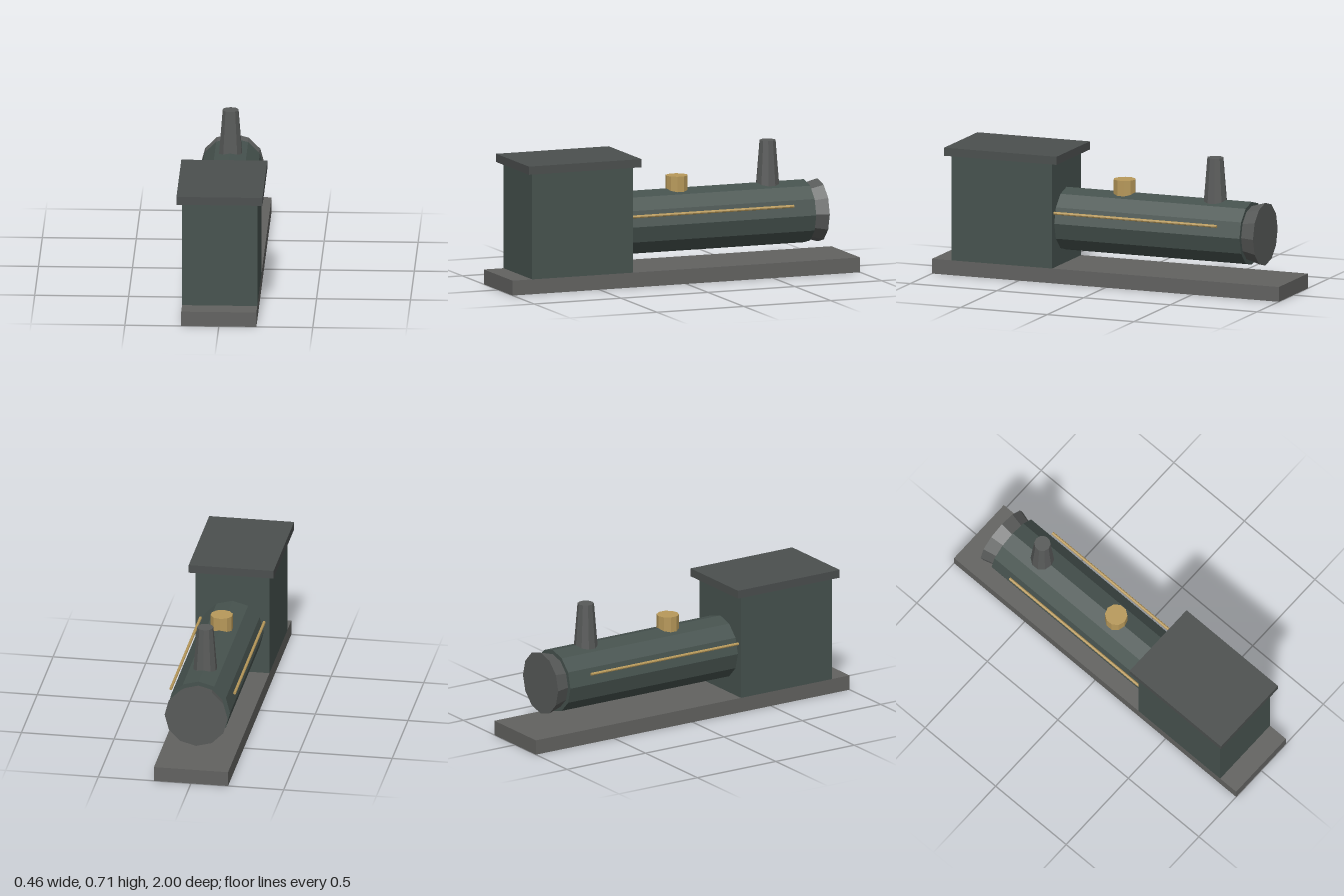
import * as THREE from 'three';

const paint = (color) => new THREE.MeshStandardMaterial({ color, flatShading: true });

export function createModel() {
  const model = new THREE.Group();
  const green = paint(0x46524e), grey = paint(0x626260), dark = paint(0x4b4f4e);
  const iron = paint(0x585a59), brass = paint(0xb8995a);

  const add = (name, geometry, material, x, y, z) => {
    const mesh = new THREE.Mesh(geometry, material);
    mesh.name = name;
    mesh.position.set(x, y, z);
    model.add(mesh);
    return mesh;
  };
  // Box given by its width and its y and z ranges
  const box = (name, w, y0, y1, z0, z1, material) =>
    add(name, new THREE.BoxGeometry(w, y1 - y0, z1 - z0), material, 0, (y0 + y1) / 2, (z0 + z1) / 2);
  // Cylinder along z, from z0 (radius r0) to z1 (radius r1)
  const lying = (name, r0, r1, z0, z1, sides, material, x, y) => {
    const geometry = new THREE.CylinderGeometry(r1, r0, z1 - z0, sides).rotateX(Math.PI / 2);
    return add(name, geometry, material, x, y, (z0 + z1) / 2);
  };
  // Upright cylinder from y0 (radius r0) to y1 (radius r1)
  const upright = (name, r0, r1, y0, y1, z, material) =>
    add(name, new THREE.CylinderGeometry(r1, r0, y1 - y0, 10), material, 0, (y0 + y1) / 2, z);

  // Running board, cab and overhanging roof
  box('runningBoard', 0.4, 0, 0.08, -1, 1, grey);
  box('cab', 0.4, 0.08, 0.65, 0.308, 0.887, green);
  box('cabRoof', 0.458, 0.65, 0.694, 0.27, 0.918, dark);

  // Boiler with its flared end
  lying('boiler', 0.17, 0.17, -0.76, 0.32, 12, green, 0, 0.317);
  lying('boilerFlare', 0.17, 0.147, -0.838, -0.76, 12, iron, 0, 0.317);

  // Chimney and dome, sunk a little into the boiler
  upright('chimney', 0.065, 0.044, 0.455, 0.712, -0.55, iron);
  upright('steamDome', 0.06, 0.06, 0.455, 0.555, -0.027, brass);

  // Handrails on both sides of the boiler
  for (const side of [1, -1]) {
    lying(side > 0 ? 'leftHandrail' : 'rightHandrail', 0.008, 0.008, -0.63, 0.32, 8, brass, side * 0.172, 0.375);
  }
  return model;
}
